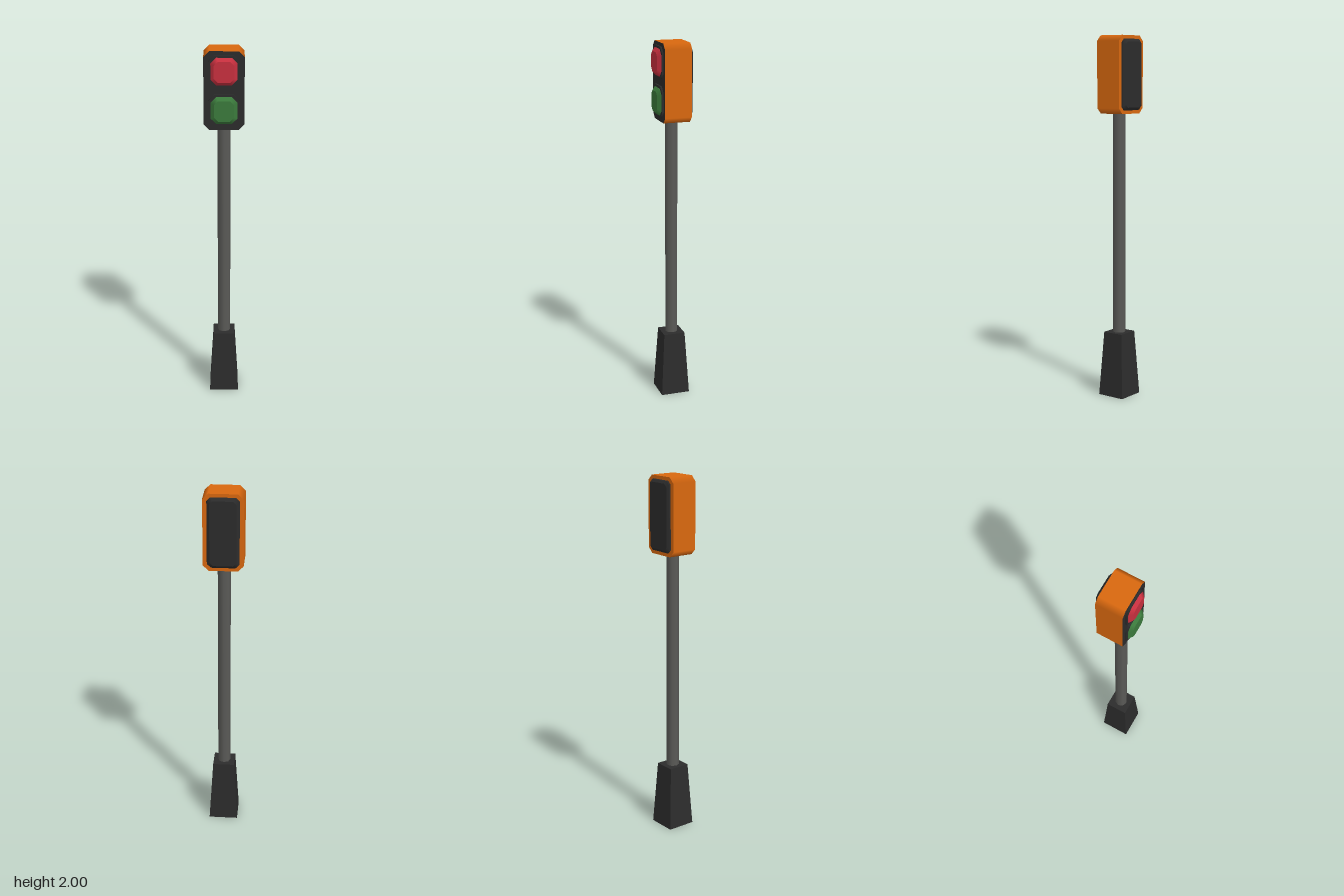
import * as THREE from 'three';

// Chamfered rectangle, counter-clockwise seen from +z; each corner point belongs to one flat side
function chamferedRect(w, h, c) {
  return [
    [w, -h + c, 1, 0], [w, h - c, 1, 0], [w - c, h, 0, 1], [-w + c, h, 0, 1],
    [-w, h - c, -1, 0], [-w, -h + c, -1, 0], [-w + c, -h, 0, -1], [w - c, -h, 0, -1],
  ];
}

// Lofts sections [z, halfWidth, halfHeight, chamfer], ordered from low z to high z.
// Flats stay flat while the chamfers blend between them. Group 0 is the sides, 1 back, 2 front.
function loft(sections) {
  const pos = [], nor = [], idx = [];
  const geo = new THREE.BufferGeometry();
  for (let s = 0; s < sections.length - 1; s++) {
    const [a, b] = [sections[s], sections[s + 1]];
    const tilt = (a[1] - b[1]) / (b[0] - a[0]);
    const base = pos.length / 3;
    for (const [z, w, h, c] of [a, b]) {
      for (const [x, y, nx, ny] of chamferedRect(w, h, c)) {
        const n = new THREE.Vector3(nx, ny, tilt).normalize();
        pos.push(x, y, z);
        nor.push(n.x, n.y, n.z);
      }
    }
    for (let i = 0; i < 8; i++) {
      const j = (i + 1) % 8;
      idx.push(base + i, base + j, base + 8 + j, base + i, base + 8 + j, base + 8 + i);
    }
  }
  geo.addGroup(0, idx.length, 0);
  [[sections[0], -1, 1], [sections[sections.length - 1], 1, 2]].forEach(([[z, w, h, c], dir, group]) => {
    const base = pos.length / 3, start = idx.length;
    for (const [x, y] of chamferedRect(w, h, c)) {
      pos.push(x, y, z);
      nor.push(0, 0, dir);
    }
    for (let i = 1; i < 7; i++) {
      if (dir > 0) idx.push(base, base + i, base + i + 1);
      else idx.push(base, base + i + 1, base + i);
    }
    geo.addGroup(start, idx.length - start, group);
  });
  geo.setAttribute('position', new THREE.Float32BufferAttribute(pos, 3));
  geo.setAttribute('normal', new THREE.Float32BufferAttribute(nor, 3));
  geo.setIndex(idx);
  return geo;
}

export function createModel() {
  const model = new THREE.Group();
  model.name = 'pedestrianSignal';

  const mat = (name, color) => {
    const m = new THREE.MeshStandardMaterial({ color });
    m.name = name;
    return m;
  };
  const orange = mat('orange', 0xd9680f);
  const black = mat('black', 0x2c2c2c);
  black.side = THREE.DoubleSide;
  const grey = mat('poleGrey', 0x5a5a57);
  const red = mat('red', 0xc8303f);
  const green = mat('green', 0x3b7a3c);

  const add = (name, geo, material, y = 0) => {
    const mesh = new THREE.Mesh(geo, material);
    mesh.name = name;
    mesh.position.y = y;
    model.add(mesh);
  };

  // Tapered foot: four flat sides, open underneath, with a lid
  const foot = new THREE.CylinderGeometry(0.06 * Math.SQRT2, 0.081 * Math.SQRT2, 0.36, 4, 1, true)
    .rotateY(Math.PI / 4).toNonIndexed();
  foot.computeVertexNormals();
  add('foot', foot, black, 0.18);
  add('footLid', new THREE.PlaneGeometry(0.12, 0.12).rotateX(-Math.PI / 2), black, 0.36);

  // Pole
  add('pole', new THREE.CylinderGeometry(0.035, 0.035, 1.59, 8), grey, 0.8);

  // Signal head: orange shell with a black front face
  const headY = 1.79;
  add('head', loft([[-0.08, 0.107, 0.21, 0.03], [0.068, 0.107, 0.21, 0.03]]),
    [orange, orange, black], headY);

  // Bevelled rear cover
  add('rearCover', loft([
    [-0.097, 0.07, 0.176, 0.018],
    [-0.088, 0.083, 0.189, 0.02],
    [-0.078, 0.086, 0.192, 0.02],
  ]), black, headY);

  // Lamps: octagonal rim and domed lens
  for (const [name, y, material] of [['red', 1.896, red], ['green', 1.688, green]]) {
    add(name + 'LampRim', loft([[0.06, 0.083, 0.085, 0.034], [0.077, 0.083, 0.085, 0.034]]), black, y);
    add(name + 'Lens', loft([
      [0.07, 0.072, 0.074, 0.03],
      [0.079, 0.07, 0.072, 0.029],
      [0.095, 0.053, 0.055, 0.022],
    ]), material, y);
  }
  return model;
}
